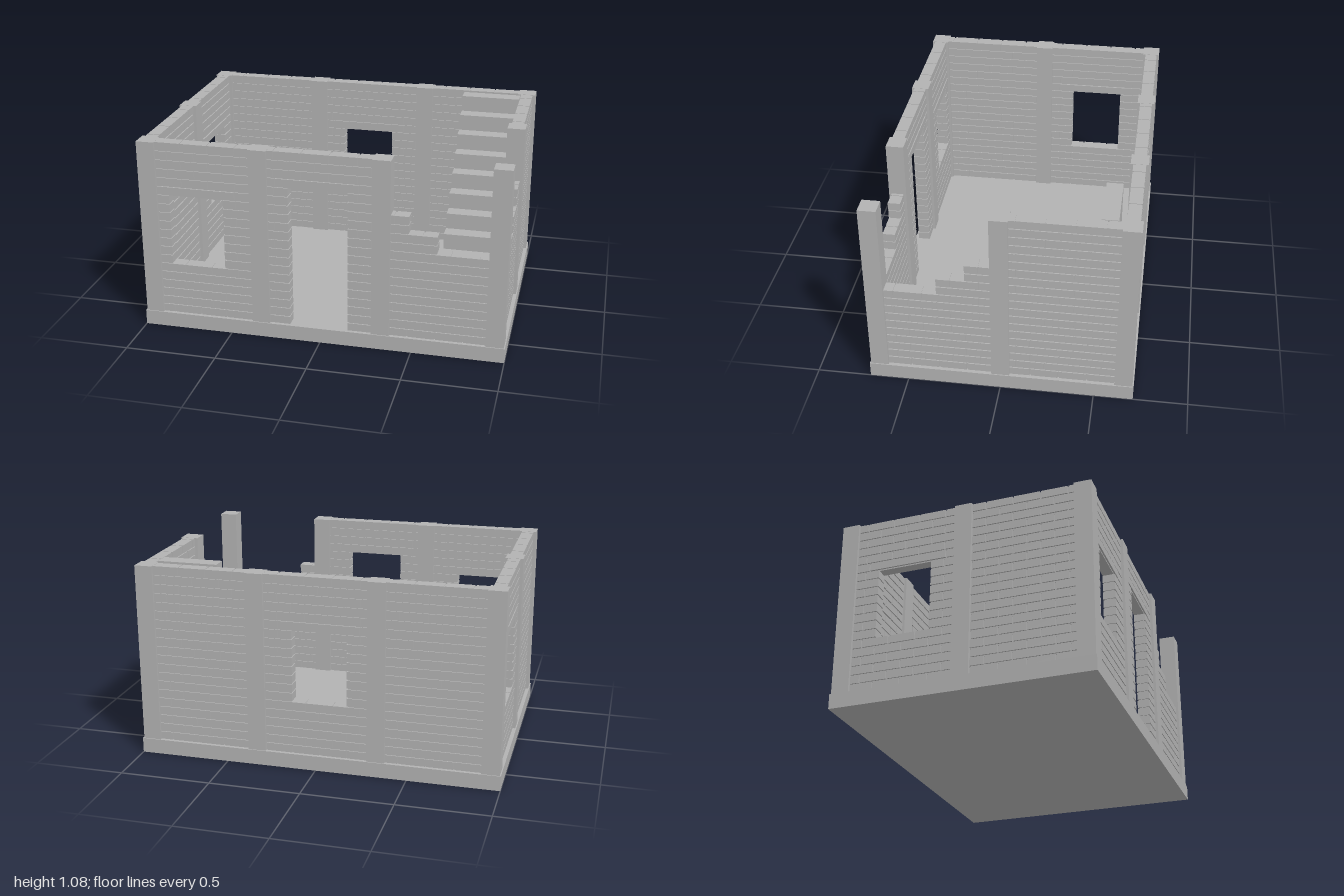
import * as THREE from 'three';
import { mergeGeometries } from 'three/addons/utils/BufferGeometryUtils.js';

const BASE_TOP = 0.083, ROW = 0.05, BRICK_H = 0.043, ROWS = 20;
const BRICK_L = 0.15, GAP = 0.007, HALF = 0.034, RECESS = 0.007;
const TOP = 1.077, CX = 0.945, CZ = 0.656;

// axis-aligned box given by its limits
function box(x0, x1, y0, y1, z0, z1) {
  return new THREE.BoxGeometry(x1 - x0, y1 - y0, z1 - z0)
    .translate((x0 + x1) / 2, (y0 + y1) / 2, (z0 + z1) / 2);
}

// slab running along x or z, centred on the wall line c
function slab(axis, c, a, b, y0, y1, half) {
  return axis === 'x' ? box(a, b, y0, y1, c - half, c + half)
    : box(c - half, c + half, y0, y1, a, b);
}

// remove [a, b] from a list of spans
function cut(spans, a, b) {
  return spans.flatMap(([s, e]) => [[s, Math.min(e, a)], [Math.max(s, b), e]]
    .filter(([p, q]) => q - p > 0.001));
}

// One wall panel in running bond: recessed mortar core plus raised bricks.
// holes: [from, to, firstRow, endRow]; lintel: [from, to, row]
function panelGeometry({ axis, c, from, to, phase, holes = [], lintel }) {
  const parts = [];
  for (let r = 0; r < ROWS; r++) {
    const y = BASE_TOP + r * ROW, top = y + BRICK_H;
    let spans = [[from, to]];
    for (const [a, b, r0, r1] of holes) if (r >= r0 && r < r1) spans = cut(spans, a, b);
    for (const [s, e] of spans) {
      parts.push(slab(axis, c, s + 0.005, e - 0.005, y - GAP, top - 0.003, HALF - RECESS));
    }
    if (lintel && lintel[2] === r) {
      parts.push(slab(axis, c, lintel[0], lintel[1], y, top, HALF + 0.002));
      spans = cut(spans, lintel[0] - GAP, lintel[1] + GAP);
    }
    const shift = phase + (r % 2) * BRICK_L / 2;
    for (const [s, e] of spans) {
      const first = Math.floor((s - shift) / BRICK_L + 1e-6);
      for (let k = first; shift + k * BRICK_L < e - 0.001; k++) {
        const u0 = shift + k * BRICK_L, u1 = u0 + BRICK_L;
        const a = u0 <= s + 0.001 ? s : u0 + GAP / 2;
        const b = u1 >= e - 0.001 ? e : u1 - GAP / 2;
        if (b - a > 0.008) parts.push(slab(axis, c, a, b, y, top, HALF));
      }
    }
  }
  return mergeGeometries(parts);
}

export function createModel() {
  const group = new THREE.Group();
  group.name = 'ruinedBrickHouse';
  const stone = new THREE.MeshStandardMaterial({ color: 0xb2b2b2 });
  stone.name = 'grey stone';
  const add = (name, geometry) => {
    const mesh = new THREE.Mesh(geometry, stone);
    mesh.name = name;
    group.add(mesh);
  };

  // foundation slab
  add('foundation', box(-1, 1, 0, BASE_TOP, -0.71, 0.71));

  // pillars: four corners, two on each long wall, one on each short wall
  const pillar = (name, x, z) =>
    add(name, box(x - 0.049, x + 0.049, BASE_TOP, TOP, z - 0.048, z + 0.048));
  for (const sx of [-1, 1]) {
    for (const sz of [-1, 1]) {
      pillar('cornerPillar', sx * CX, sz * CZ);
      pillar('wallPillar', sx * 0.33, sz * CZ);
    }
    pillar('sidePillar', sx * CX, 0);
  }

  // brick walls, panel by panel
  const panels = {
    frontWindowPanel: { axis: 'x', c: CZ, from: -CX, to: -0.33, phase: -0.83,
      holes: [[-0.83, -0.53, 6, 14]], lintel: [-0.9, -0.465, 14] },
    frontDoorPanel: { axis: 'x', c: CZ, from: -0.33, to: 0.33, phase: -0.17,
      holes: [[-0.17, 0.15, 0, 16]], lintel: [-0.235, 0.21, 16] },
    frontBrokenPanel: { axis: 'x', c: CZ, from: 0.33, to: CX, phase: 0.475,
      holes: [[0.625, 1, 10, 12], [0.475, 1, 12, 14], [0.3, 1, 14, ROWS]] },
    backRightPanel: { axis: 'x', c: -CZ, from: -CX, to: -0.33, phase: -0.9 },
    backWindowPanel: { axis: 'x', c: -CZ, from: -0.33, to: 0.33, phase: -0.17,
      holes: [[-0.17, 0.13, 6, 14]], lintel: [-0.24, 0.2, 14] },
    backLeftPanel: { axis: 'x', c: -CZ, from: 0.33, to: CX, phase: 0.375 },
    rightWindowPanel: { axis: 'z', c: -CX, from: -CZ, to: 0, phase: -0.48,
      holes: [[-0.48, -0.18, 6, 14]], lintel: [-0.53, -0.1, 14] },
    rightFrontPanel: { axis: 'z', c: -CX, from: 0, to: CZ, phase: 0.05 },
    leftBackPanel: { axis: 'z', c: CX, from: -CZ, to: 0, phase: -0.61 },
    leftBrokenPanel: { axis: 'z', c: CX, from: 0, to: CZ, phase: 0.18,
      holes: [[0.33, 1, 10, 12], [0.18, 1, 12, 14], [-0.1, 1, 14, ROWS]] },
  };
  for (const [name, spec] of Object.entries(panels)) add(name, panelGeometry(spec));

  // solid staircase climbing towards the back along the left wall
  const steps = 11, z0 = 0.37, z1 = -0.585;
  const profile = new THREE.Shape().moveTo(-z0, BASE_TOP);
  for (let i = 0; i < steps; i++) {
    const y = BASE_TOP + (TOP - BASE_TOP) * (i + 1) / steps;
    profile.lineTo(-z0 + (z0 - z1) * i / steps, y);
    profile.lineTo(-z0 + (z0 - z1) * (i + 1) / steps, y);
  }
  profile.lineTo(-z1, BASE_TOP);
  const stairs = new THREE.ExtrudeGeometry(profile, { depth: 0.333, bevelEnabled: false });
  stairs.rotateY(Math.PI / 2).translate(0.575, 0, 0);
  add('staircase', stairs);

  return group;
}
